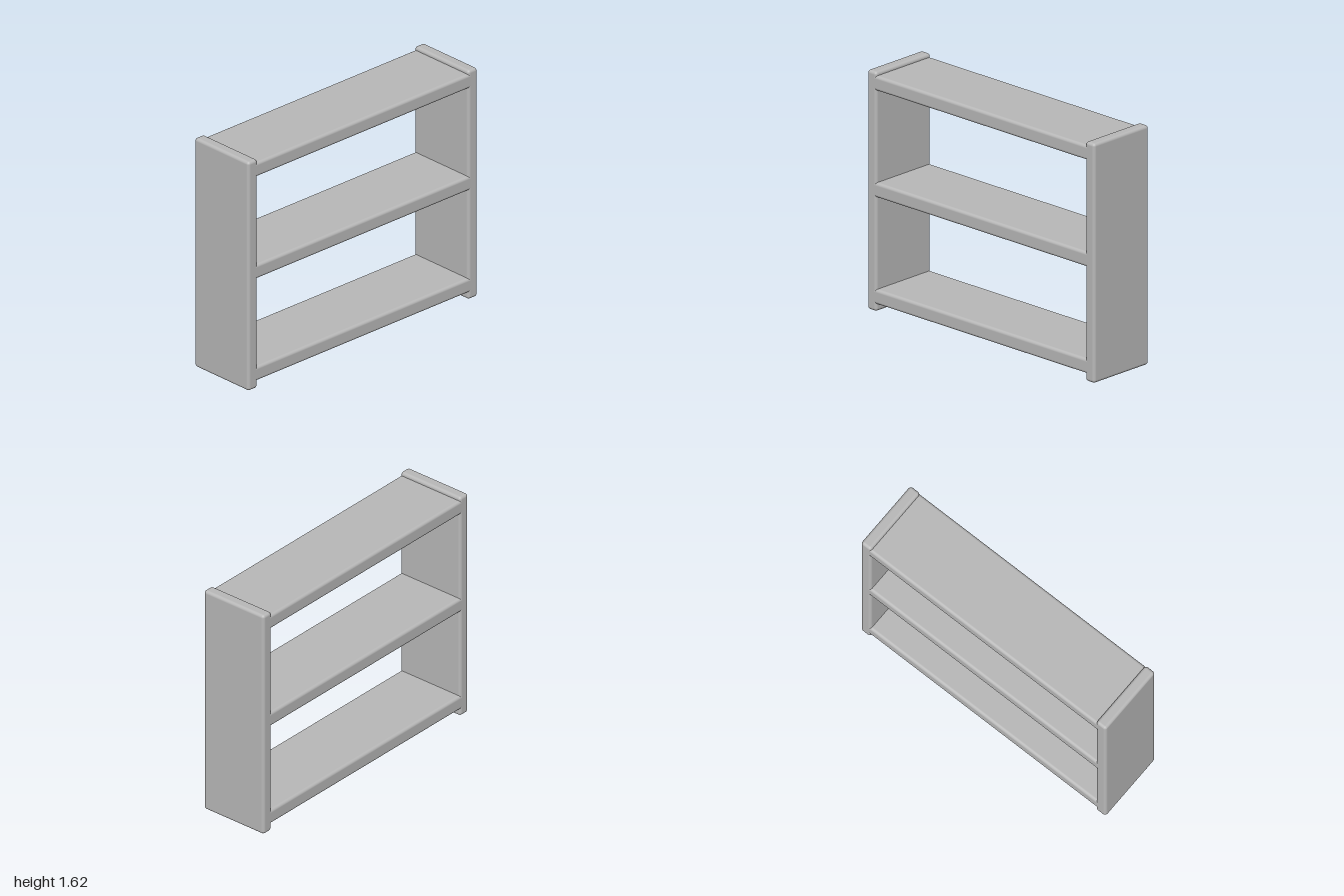
import * as THREE from 'three';
import { RoundedBoxGeometry } from 'three/addons/geometries/RoundedBoxGeometry.js';

const HEIGHT = 1.615, DEPTH = 0.5, PANEL = 0.08, SHELF = 0.1, RADIUS = 0.02;

export function createModel() {
  const model = new THREE.Group();
  model.name = 'shelfUnit';
  const grey = new THREE.MeshStandardMaterial({ color: 0xb8b8b8 });
  grey.name = 'grey';

  const addBoard = (name, width, height, x, y) => {
    const board = new THREE.Mesh(new RoundedBoxGeometry(width, height, DEPTH, 4, RADIUS), grey);
    board.name = name;
    board.position.set(x, y, 0);
    model.add(board);
  };

  // Upright side panels
  for (const side of [-1, 1]) {
    addBoard(side > 0 ? 'leftPanel' : 'rightPanel', PANEL, HEIGHT, side * (1 - PANEL / 2), HEIGHT / 2);
  }

  // Shelves, let into the panels past their rounded edges
  const shelves = { bottomShelf: 0.1, middleShelf: 0.82, topShelf: 1.54 };
  for (const [name, y] of Object.entries(shelves)) {
    addBoard(name, 2 - PANEL, SHELF, 0, y);
  }
  return model;
}
